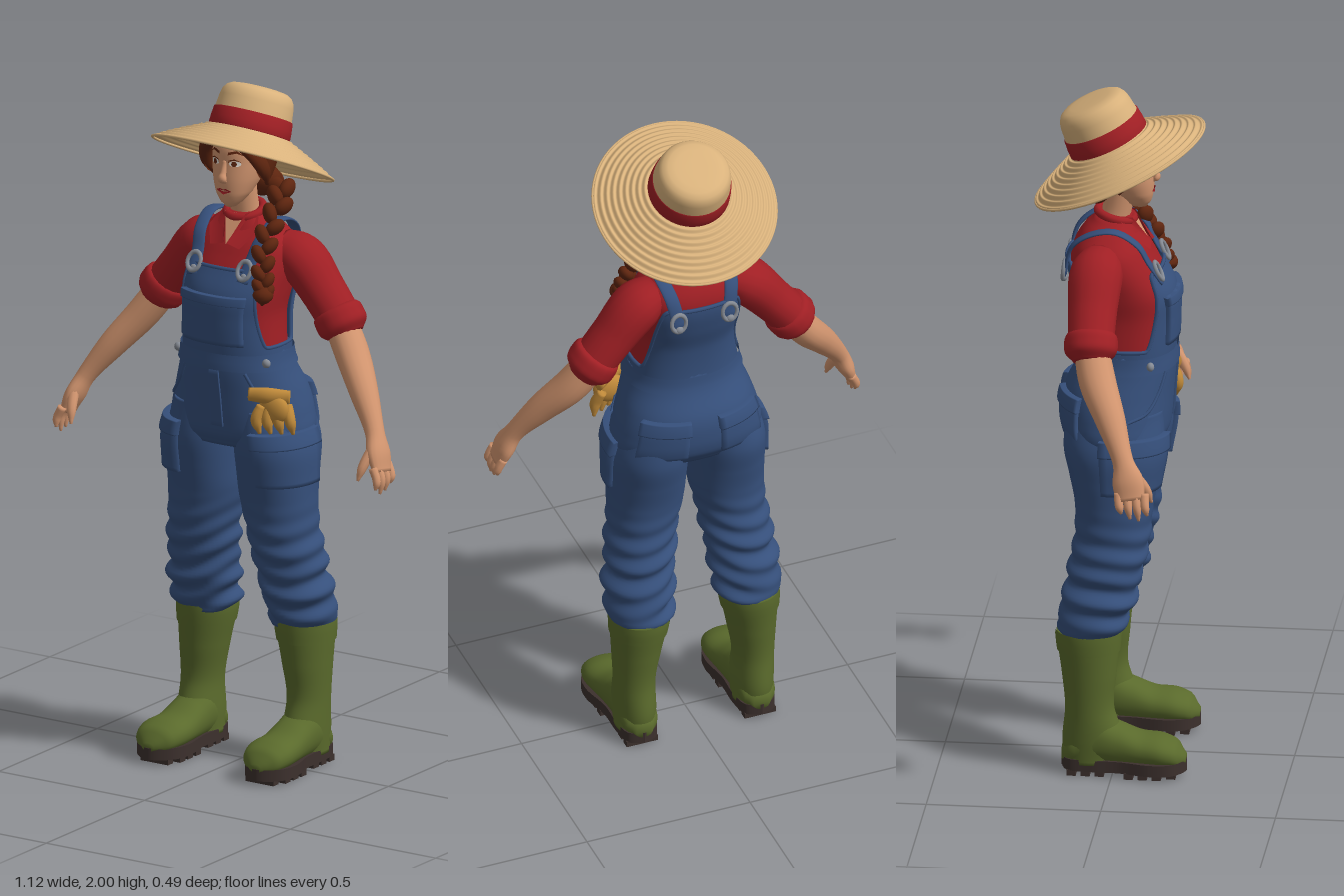
import * as THREE from 'three';

const V = (x, y, z) => new THREE.Vector3(x, y, z);
const { smoothstep, lerp } = THREE.MathUtils;
const PI = Math.PI;

// Smooth interpolation of rows [key, a, b, ...] at a given key
function track(keys) {
  return (k) => {
    let i = 0;
    while (i < keys.length - 2 && k > keys[i + 1][0]) i++;
    const b = keys[i], c = keys[i + 1], a = keys[i - 1] || b, d = keys[i + 2] || c;
    const t = Math.min(1, Math.max(0, (k - b[0]) / (c[0] - b[0])));
    return b.slice(1).map((_, n) => {
      const [p, q, r, s] = [a, b, c, d].map((row) => row[n + 1]);
      return q + 0.5 * t * (r - p + t * (2 * p - 5 * q + 4 * r - s + t * (3 * (q - r) + s - p)));
    });
  };
}

// Surface through rows of points; capped skins are turned to face outward
function skin(rows, { ring = true, caps = true } = {}) {
  const n = rows[0].length, pts = rows.flat(), index = [];
  for (let i = 0; i < rows.length - 1; i++)
    for (let j = 0; j < (ring ? n : n - 1); j++) {
      const a = i * n + j, b = i * n + (j + 1) % n;
      index.push(a, b, b + n, a, b + n, a + n);
    }
  if (caps) {
    [0, rows.length - 1].forEach((r) => {
      const c = pts.length;
      pts.push(rows[r].reduce((s, p) => s.add(p), V(0, 0, 0)).divideScalar(n));
      for (let j = 0; j < n; j++) {
        const a = r * n + j, b = r * n + (j + 1) % n;
        index.push(c, ...(r ? [a, b] : [b, a]));
      }
    });
    let volume = 0;
    for (let i = 0; i < index.length; i += 3)
      volume += pts[index[i]].dot(V(0, 0, 0).crossVectors(pts[index[i + 1]], pts[index[i + 2]]));
    if (volume < 0) index.reverse();
  }
  const g = new THREE.BufferGeometry().setFromPoints(pts);
  g.setIndex(index);
  g.computeVertexNormals();
  return g;
}

// Rounded body from sections [height, centreX, halfWidth, front, back]
function body(sections, power = 2, alongZ = false) {
  const at = track(sections), k = 2 / power;
  const bend = (v) => Math.sign(v) * Math.abs(v) ** k;
  const p = (y, a, off = 0) => {
    const [cx, rx, f, b] = at(y);
    const x = cx + (rx + off) * bend(Math.sin(a));
    const z = (f + b) / 2 + ((f - b) / 2 + off) * bend(Math.cos(a));
    return alongZ ? V(x, z, y) : V(x, y, z);
  };
  const z = (x, y) => {
    const [cx, rx, f, b] = at(y);
    return (f + b) / 2 + (f - b) / 2 * Math.max(0, 1 - Math.abs((x - cx) / rx) ** power) ** (1 / power);
  };
  const grid = (nr, nc, fn) => Array.from({ length: nr + 1 }, (_, i) =>
    Array.from({ length: nc }, (_, j) => fn(i / nr, j / nc)));
  const y0 = sections[0][0], y1 = sections[sections.length - 1][0];
  const solid = (nr = 40, nc = 40, bump = () => 0) => skin(grid(nr, nc, (u, v) => {
    const y = lerp(y0, y1, u), a = v * 2 * PI;
    return p(y, a, bump(y, a));
  }));
  // Shell all round, between two edges that depend on the angle
  const shell = (low, high, off, nr = 16, nc = 96) => skin(grid(nr, nc, (u, v) => {
    const a = v * 2 * PI, s = Math.min(a, 2 * PI - a);
    return p(lerp(low(s), high(s), u), a, off(s));
  }), { caps: false });
  // Raised patch whose borders sink back to the surface
  const patch = (a0, a1, b0, b1, off, n = 12) => {
    const steps = [0, ...Array.from({ length: n + 1 }, (_, i) => i / n), 1];
    return skin(steps.map((u, i) => steps.map((v, j) => {
      const rim = i === 0 || j === 0 || i === n + 2 || j === n + 2;
      return p(lerp(b0, b1, u), lerp(a0, a1, v), rim ? -0.002 : off);
    })), { ring: false, caps: false });
  };
  // Flat outline laid on the front of the surface
  const decal = (outline, off) => {
    const g = new THREE.ShapeGeometry(new THREE.Shape(outline.map(([x, y]) => new THREE.Vector2(x, y))));
    const q = g.attributes.position;
    for (let i = 0; i < q.count; i++) q.setZ(i, z(q.getX(i), q.getY(i)) + off);
    g.computeVertexNormals();
    return g;
  };
  return { p, z, solid, shell, patch, decal };
}

// Tapered oval tube along a path; radii are [across ref, other]
function sweep(points, radii, ref = V(0, 0, 1), rows = 20, cols = 16) {
  const curve = new THREE.CatmullRomCurve3(points.map((q) => V(...q)));
  const size = track(radii.map((r, i) => [i / (radii.length - 1), ...r]));
  return skin(Array.from({ length: rows + 1 }, (_, i) => {
    const c = curve.getPoint(i / rows), t = curve.getTangent(i / rows), [ru, rv] = size(i / rows);
    const u = ref.clone().addScaledVector(t, -ref.dot(t)).normalize(), w = t.clone().cross(u);
    return Array.from({ length: cols }, (_, j) => {
      const a = j / cols * 2 * PI;
      return c.clone().addScaledVector(u, ru * Math.cos(a)).addScaledVector(w, rv * Math.sin(a));
    });
  }));
}
const oval = (x, y, rx, ry, n = 20) => Array.from({ length: n }, (_, i) =>
  [x + rx * Math.cos(i / n * 2 * PI), y + ry * Math.sin(i / n * 2 * PI)]);
const ball = (x, y, z, a, b, c) => new THREE.SphereGeometry(1, 20, 14).scale(a, b, c).translate(x, y, z);
const box = (w, h, d, x, y, z) => new THREE.BoxGeometry(w, h, d).translate(x, y, z);

export function createModel() {
  const model = new THREE.Group();
  model.name = 'farmer';
  const paint = (name, color, double) => {
    const m = new THREE.MeshStandardMaterial({ color, side: double ? THREE.DoubleSide : THREE.FrontSide });
    m.name = name;
    return m;
  };
  const skinTone = paint('skin', 0xd2956f), red = paint('red cloth', 0xa01f24, true), denim = paint('denim', 0x36507c, true);
  const straw = paint('straw', 0xd9b27c, true), auburn = paint('auburn hair', 0x5e250f, true), olive = paint('olive rubber', 0x5a6a2c);
  const dark = paint('dark sole', 0x3c302d), leather = paint('tan leather', 0xc08a3a), metal = paint('metal', 0x858a93);
  const white = paint('eye white', 0xeee8e0);
  const add = (name, g, m) => {
    const mesh = new THREE.Mesh(g, m);
    mesh.name = name;
    model.add(mesh);
  };
  const pair = (name, g, m) => {
    add(name + 'Left', g, m);
    const r = g.clone().scale(-1, 1, 1);
    const order = r.index ? [...r.index.array] : [...Array(r.attributes.position.count).keys()];
    r.setIndex(order.reverse());
    add(name + 'Right', r, m);
  };

  // Shirt, open neck and collar
  const torso = body([[1.16, 0, .15, .14, -.1], [1.25, 0, .145, .148, -.093], [1.35, 0, .14, .152, -.1], [1.42, 0, .15, .148, -.122],
    [1.5, 0, .16, .108, -.138], [1.55, 0, .15, .08, -.13], [1.6, 0, .1, .05, -.1], [1.635, 0, .055, .035, -.065]], 2.3);
  add('shirt', torso.solid(40, 56), red);
  add('neck', sweep([[0, 1.57, -.03], [0, 1.64, -.01], [0, 1.72, .005]], [[.05, .05], [.042, .042], [.042, .042]]), skinTone);
  add('openNeck', torso.decal([[-.035, 1.632], [0, 1.55], [.035, 1.632]], .008), skinTone);
  pair('collar', torso.decal([[.006, 1.555], [.05, 1.545], [.082, 1.59], [.055, 1.64], [.036, 1.635]], .014), red);
  add('collarBand', new THREE.TorusGeometry(.052, .013, 10, 32).rotateX(PI / 2 + .25).translate(0, 1.632, -.012), red);

  // Overalls: bib and back panel
  const topEdge = (s) => 1.265 + .225 * (1 - smoothstep(s, .6, 1.15)) + .25 * smoothstep(s, 1.95, 2.55);
  add('bib', torso.shell(() => 1.18, topEdge, () => .013, 24, 128), denim);
  const hem = Array.from({ length: 96 }, (_, i) => {
    const a = i / 96 * 2 * PI;
    return torso.p(topEdge(Math.min(a, 2 * PI - a)), a, .011);
  });
  add('bibHem', new THREE.TubeGeometry(new THREE.CatmullRomCurve3(hem, true), 192, .006, 6, true), denim);
  add('bibPocket', torso.patch(-.62, .62, 1.275, 1.42, .023), denim);
  add('bibPocketHem', torso.patch(-.63, .63, 1.395, 1.42, .028), denim);

  // Hips, waistband and pockets
  const hips = body([[.965, 0, .2, .125, -.13], [1.0, 0, .222, .145, -.153], [1.05, 0, .215, .152, -.162], [1.12, 0, .195, .157, -.155],
    [1.2, 0, .168, .163, -.116], [1.25, 0, .158, .16, -.106]], 2.2);
  add('hips', hips.solid(30, 56), denim);
  add('waistband', hips.shell((s) => 1.2, (s) => 1.248, () => .007, 4), denim);
  pair('backPocket', hips.patch(PI - .95, PI - .2, 1.0, 1.115, .01), denim);
  pair('backPocketFlap', hips.patch(PI - .97, PI - .18, 1.085, 1.125, .016), denim);
  pair('sidePocketSeam', new THREE.TubeGeometry(new THREE.CatmullRomCurve3(
    [[1.195, .6], [1.14, .72], [1.09, .95], [1.07, 1.3]].map(([y, a]) => hips.p(y, a, .002))), 24, .005, 6), denim);
  add('fly', hips.patch(-.02, .13, 1.03, 1.2, .005), denim);

  // Trouser legs with gathered folds
  const leg = body([[.415, .166, .085, .02, -.15], [.44, .167, .1, .035, -.165], [.48, .163, .093, .045, -.152], [.52, .16, .104, .065, -.152],
    [.57, .152, .094, .07, -.135], [.62, .148, .102, .085, -.13], [.7, .136, .1, .1, -.115], [.8, .123, .11, .11, -.115],
    [.88, .12, .113, .125, -.13], [.97, .116, .113, .14, -.148], [1.08, .1, .095, .135, -.14]], 2.1);
  pair('trouserLeg', leg.solid(90, 48, (y, a) =>
    .006 * (1 - smoothstep(y, .62, .82)) * Math.sin(y * 95 + 2.4 * Math.sin(a + .6) + Math.cos(2 * a))), denim);
  pair('cargoPocket', leg.patch(.1, 1.75, .86, 1.0, .014), denim);
  pair('cargoFlap', leg.patch(.08, 1.77, .975, 1.02, .02), denim);

  // Straps, buckles and waist buttons
  const strapZ = torso.z(.085, 1.47) + .018;
  pair('strap', sweep([[.085, 1.46, strapZ + .004], [.092, 1.52, .092], [.103, 1.575, .062], [.11, 1.615, 0], [.105, 1.605, -.07],
    [.092, 1.56, -.128], [.075, 1.47, -.15]], [[.02, .006], [.02, .006]], V(1, 0, 0), 40), denim);
  [[.086, 1.495, torso.z(.086, 1.495) + .024, -.45], [.078, 1.485, -.152, .1]].forEach(([x, y, z, tilt], i) => {
    const name = i ? 'backBuckle' : 'frontBuckle';
    pair(name, new THREE.TorusGeometry(.022, .006, 8, 20).scale(1, 1.25, 1).rotateX(tilt).translate(x, y, z), metal);
    pair(name + 'Stud', ball(x, y - .022, z, .013, .013, .01), metal);
  });
  const hipButton = hips.p(1.225, 1.05, .01);
  pair('waistButton', ball(hipButton.x, hipButton.y, hipButton.z, .013, .013, .011), metal);

  // Sleeves and rolled cuffs
  pair('sleeve', sweep([[.1, 1.535, -.04], [.165, 1.505, -.05], [.24, 1.42, -.052], [.315, 1.325, -.05]],
    [[.06, .05], [.077, .07], [.07, .064], [.066, .062]]), red);
  pair('sleeveRoll', sweep([[.282, 1.372, -.052], [.33, 1.302, -.047]], [[.06, .056], [.073, .07], [.077, .073], [.073, .07], [.05, .045]]), red);

  // Forearms, hands and fingers
  pair('forearm', sweep([[.3, 1.34, -.05], [.36, 1.255, -.025], [.43, 1.165, .02], [.495, 1.07, .062], [.52, 1.015, .08], [.54, .965, .09]],
    [[.05, .048], [.053, .047], [.043, .04], [.03, .027], [.045, .026], [.04, .016]], V(0, 0, 1), 30), skinTone);
  [[.128, .925], [.104, .908], [.079, .913], [.054, .928]].forEach(([z, tip], i) => pair('finger' + i,
    sweep([[.533, .985, z], [.549, .95, z + .004], [.548, tip, z + .01]], [[.013, .013], [.0125, .0125], [.011, .011], [.004, .004]], V(0, 0, 1), 10, 10), skinTone));
  pair('thumb', sweep([[.512, 1.03, .1], [.5, .985, .13], [.492, .945, .145]], [[.016, .016], [.015, .015], [.012, .012], [.004, .004]], V(0, 0, 1), 10, 10), skinTone);

  // Boots with treaded soles
  const shaft = body([[.035, .18, .058, .01, -.138], [.1, .18, .061, .03, -.145], [.2, .182, .06, .003, -.137],
    [.3, .176, .071, .01, -.147], [.42, .168, .085, .02, -.163], [.432, .168, .084, .02, -.162]]);
  pair('bootShaft', shaft.solid(), olive);
  pair('bootCuff', shaft.shell(() => .37, () => .43, () => .004, 4, 40), olive);
  const foot = body([[-.145, .18, .025, .08, .035], [-.12, .18, .05, .11, .03], [-.04, .18, .062, .17, .03], [.02, .18, .064, .15, .03],
    [.08, .181, .068, .125, .03], [.14, .183, .073, .118, .03], [.185, .184, .058, .1, .03], [.21, .184, .02, .065, .04]], 2.2, true);
  pair('bootFoot', foot.solid(36, 32), olive);
  const outline = new THREE.Shape();
  outline.moveTo(.18, -.147);
  outline.splineThru([[.225, -.125], [.236, -.06], [.238, .02], [.258, .11], [.245, .175], [.185, .212], [.125, .175], [.108, .11],
    [.122, .02], [.122, -.06], [.135, -.125], [.18, -.147]].map(([x, y]) => new THREE.Vector2(x, y)));
  pair('sole', new THREE.ExtrudeGeometry(outline, { depth: .034, bevelEnabled: false, curveSegments: 48 }).rotateX(PI / 2).translate(0, .05, 0), dark);
  [-.115, -.075, -.035, .05, .09, .13, .17].forEach((z, i) =>
    pair('tread' + i, box(z > 0 && z < .15 ? .125 : .095, .018, .026, .181, .009, z), dark));

  // Head and face
  const head = body([[1.66, 0, .015, .077, .035], [1.675, 0, .032, .089, .015], [1.7, 0, .05, .096, -.01], [1.74, 0, .066, .098, -.05],
    [1.79, 0, .075, .094, -.075], [1.84, 0, .075, .09, -.09], [1.89, 0, .06, .06, -.1], [1.93, 0, .02, 0, -.06]], 2.2);
  add('head', head.solid(40, 48), skinTone);
  add('nose', sweep([[0, 1.8, .09], [0, 1.765, .1], [0, 1.748, .105], [0, 1.737, .094]], [[.007, .005], [.009, .009], [.014, .011], [.01, .004]], V(1, 0, 0)), skinTone);
  pair('eye', head.decal(oval(.033, 1.795, .016, .0085), .003), white);
  pair('iris', head.decal(oval(.032, 1.795, .0075, .008), .005), auburn);
  pair('eyelid', head.decal([[.015, 1.796], [.02, 1.803], [.034, 1.806], [.052, 1.8], [.034, 1.81], [.018, 1.806]].reverse(), .006), auburn);
  pair('eyebrow', head.decal([[.014, 1.82], [.038, 1.827], [.058, 1.817], [.038, 1.834], [.014, 1.828]], .005), auburn);
  add('lips', head.decal([[-.026, 1.713], [0, 1.702], [.026, 1.713], [.009, 1.72], [0, 1.717], [-.009, 1.72]], .004), red);
  pair('ear', ball(.078, 1.775, .005, .01, .024, .016), skinTone);

  // Hair, side locks and braid
  const hairline = track([[0, 1.872], [.5, 1.858], [.85, 1.825], [1.2, 1.765], [1.6, 1.735], [2.2, 1.73], [PI, 1.73]]);
  add('hair', head.shell((s) => hairline(s)[0], () => 1.925, (s) => .01 + .016 * smoothstep(s, .4, 1.3)), auburn);
  pair('sideLock', sweep([[.005, 1.885, .08], [.045, 1.862, .088], [.08, 1.825, .065], [.096, 1.775, .035], [.088, 1.725, .005]],
    [[.012, .012], [.022, .016], [.026, .018], [.022, .016], [.006, .006]]), auburn);
  add('napeHair', ball(.012, 1.712, -.065, .075, .05, .045), auburn);
  const braid = new THREE.CatmullRomCurve3([[.02, 1.7, -.085], [.085, 1.7, -.065], [.112, 1.66, -.015], [.118, 1.6, .045],
    [.128, 1.54, .085], [.142, 1.48, .108], [.148, 1.44, .115]].map((q) => V(...q)));
  for (let i = 0; i < 16; i++) {
    const t = i / 15, side = i % 2 ? 1 : -1, r = lerp(1, .72, t), dir = braid.getTangent(t), c = braid.getPoint(t);
    const across = V(.8, 0, -.6).addScaledVector(dir, -V(.8, 0, -.6).dot(dir)).normalize();
    const g = new THREE.SphereGeometry(1, 16, 12).scale(.023 * r, .036 * r, .031 * r).rotateZ(side * .6);
    g.applyMatrix4(new THREE.Matrix4().makeBasis(across, dir, across.clone().cross(dir)));
    add('braidStrand' + i, g.translate(...c.addScaledVector(across, side * .017 * r).toArray()), auburn);
  }
  add('braidTail', sweep([[.147, 1.455, .115], [.15, 1.43, .12], [.143, 1.4, .115]], [[.018, .018], [.03, .03], [.003, .003]], V(0, 0, 1), 12), auburn);

  // Straw hat with woven rings, tilted back
  const tilt = (g) => g.rotateX(-.44).translate(0, 1.785, 0);
  const brim = Array.from({ length: 91 }, (_, i) => {
    const t = i / 90;
    return new THREE.Vector2(lerp(.266, .114, t), .078 * t ** .9 + .0026 * Math.sin(t * 18 * PI));
  });
  add('hatBrim', tilt(new THREE.LatheGeometry(brim, 72)), straw);
  add('hatRim', tilt(new THREE.TorusGeometry(.265, .004, 8, 72).rotateX(PI / 2)), straw);
  const lathe = (pts) => tilt(new THREE.LatheGeometry(pts.map((q) => new THREE.Vector2(...q)), 56));
  add('hatCrown', lathe([[.115, .07], [.113, .12], [.108, .165], [.104, .182], [.095, .196], [.08, .204], [.06, .207], [.03, .208], [0, .208]]), straw);
  add('hatBand', lathe([[.114, .076], [.119, .078], [.118, .1], [.115, .128], [.11, .13]]), red);

  // Work gloves tucked in the hip pocket
  const gz = (x) => .152 - .55 * (x - .12);
  add('gloveCuff', sweep([[.122, 1.142, gz(.122)], [.172, 1.14, gz(.16)], [.226, 1.135, gz(.226)]], [[.02, .013], [.024, .017], [.02, .013]], V(0, 1, 0)), leather);
  add('glovePalm', ball(.185, 1.1, gz(.185), .048, .045, .026), leather);
  [.147, .174, .202, .231].forEach((x, i) => add('gloveFinger' + i, sweep([[lerp(x, .18, .3), 1.11, gz(x)], [x, 1.07, gz(x) + .012],
    [x + .008, 1.028, gz(x) + .006]], [[.015, .013], [.017, .016], [.015, .015], [.005, .005]], V(0, 0, 1), 12, 12), leather));
  return model;
}
